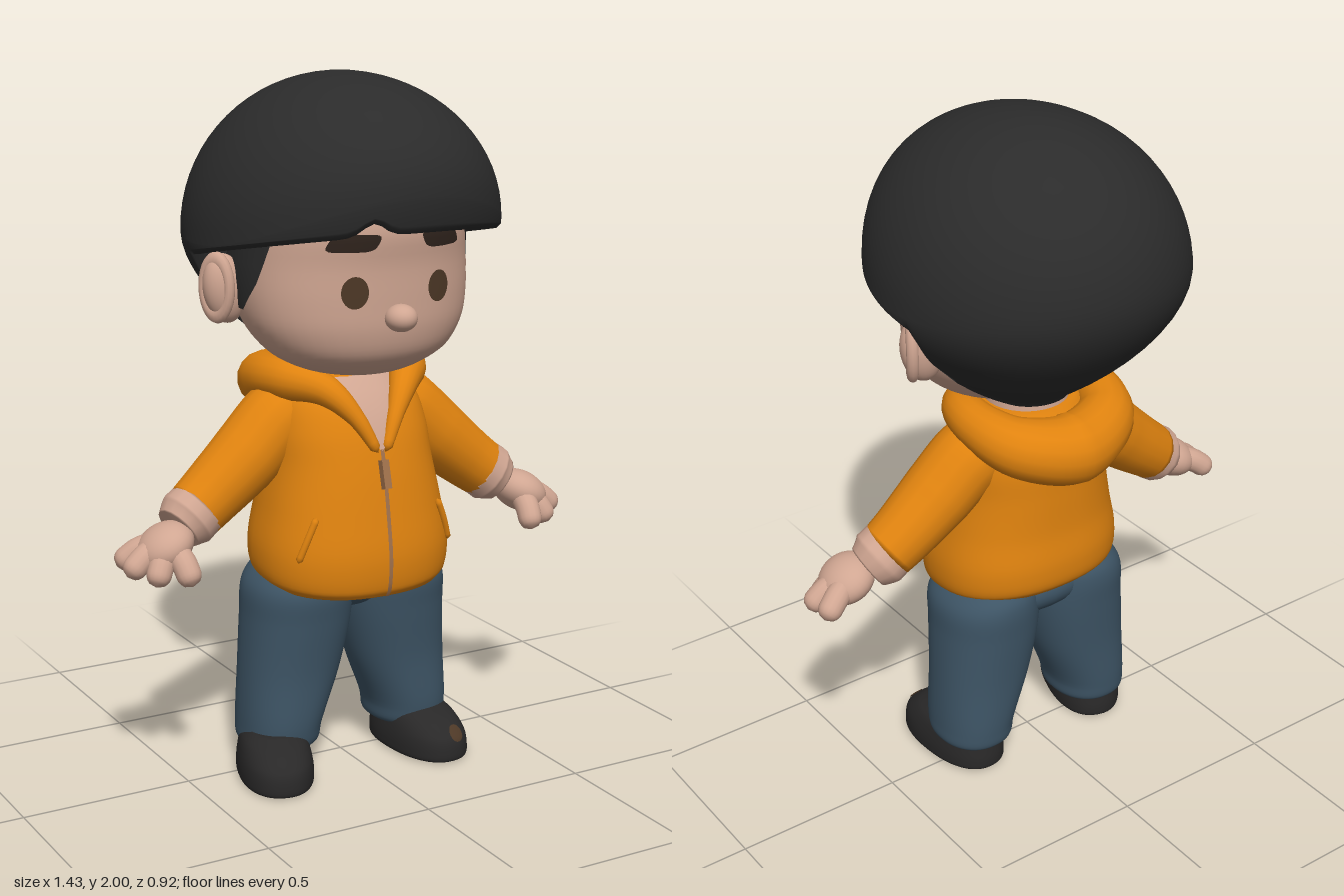
import * as THREE from 'three';
import { mergeVertices } from 'three/addons/utils/BufferGeometryUtils.js';

const V = (x, y, z) => new THREE.Vector3(x, y, z);
const lerp = THREE.MathUtils.lerp;
const mat = (name, color, side = THREE.FrontSide) => {
  const m = new THREE.MeshStandardMaterial({ color, side });
  m.name = name;
  return m;
};

// Surface through rows of points, bottom row first, each row running from +z towards +x
function skinRows(rows, closed = true) {
  const n = rows[0].length, index = [];
  for (let i = 0; i < rows.length - 1; i++) {
    for (let j = 0; j < (closed ? n : n - 1); j++) {
      const k = (j + 1) % n, a = i * n + j, b = i * n + k;
      index.push(a, b, b + n, a, b + n, a + n);
    }
  }
  const g = new THREE.BufferGeometry().setFromPoints(rows.flat());
  g.setIndex(index);
  const m = mergeVertices(g);
  m.computeVertexNormals();
  return m;
}

// Rings are [y, half width, front z, back z, centre x]; resample them smoothly
function smoothRings(rings, steps = 40) {
  const at = (c) => new THREE.CatmullRomCurve3(rings.map((r) => V(...c(r))), false, 'centripetal');
  const a = at((r) => [r[0], r[1], r[4] || 0]), b = at((r) => [r[0], r[2], r[3]]);
  return Array.from({ length: steps + 1 }, (_, i) => {
    const p = a.getPoint(i / steps), q = b.getPoint(i / steps);
    return [p.x, p.y, q.y, q.z, p.z];
  });
}

function loft(rings, power = 2, bend = (p) => p) {
  const rows = rings.map(([y, rx, zf, zb, cx]) => Array.from({ length: 48 }, (_, j) => {
    const a = (j / 48) * Math.PI * 2;
    const f = (t) => Math.sign(t) * Math.abs(t) ** (2 / power);
    return bend(V(cx + rx * f(Math.sin(a)), y, (zf + zb) / 2 + ((zf - zb) / 2) * f(Math.cos(a))));
  }));
  const cap = (row) => {
    const c = row.reduce((s, p) => s.add(p), V(0, 0, 0)).divideScalar(row.length);
    return row.map(() => c.clone());
  };
  return skinRows([cap(rows[0]), ...rows, cap(rows[rows.length - 1])]);
}

// Ring size at a height, then the front z or side x of the lofted surface
function ringAt(rings, y) {
  let i = 0;
  while (i < rings.length - 2 && rings[i + 1][0] < y) i++;
  const t = THREE.MathUtils.clamp((y - rings[i][0]) / (rings[i + 1][0] - rings[i][0]), 0, 1);
  return rings[i].map((v, k) => lerp(v, rings[i + 1][k], t));
}
const curveOut = (t, n) => Math.max(0, 1 - Math.min(1, Math.abs(t)) ** n) ** (1 / n);
function frontZ(rings, n, x, y) {
  const [, rx, zf, zb] = ringAt(rings, y);
  return (zf + zb) / 2 + ((zf - zb) / 2) * curveOut(x / rx, n);
}
function sideX(rings, n, z, y) {
  const [, rx, zf, zb] = ringAt(rings, y);
  return rx * curveOut((z - (zf + zb) / 2) / ((zf - zb) / 2), n);
}

// Thin painted patch: rows of [v, from, to] placed on a surface by a rule
const patch = (rows, place) => skinRows(rows.map(([v, lo, hi]) =>
  Array.from({ length: 9 }, (_, j) => place(lerp(lo, hi, j / 8), v))), false);
const oval = (cx, cy, w, h, tilt = 0, e = 2) => Array.from({ length: 13 }, (_, i) => {
  const s = -Math.cos((i / 12) * Math.PI), k = w * curveOut(s, e), c = cx + s * h * tilt;
  return [cy + s * h, c - k, c + k];
});

// Tapered tube: points are [x, y, z, radius], closed at both ends
function taper(pts, seg = 28, round = true) {
  const curve = new THREE.CatmullRomCurve3(pts.map((p) => V(p[0], p[1], p[2])));
  const g = new THREE.TubeGeometry(curve, seg, 1, 16, false), pos = g.attributes.position;
  const len = curve.getLength();
  for (let i = 0; i <= seg; i++) {
    const t = curve.getUtoTmapping(i / seg) * (pts.length - 1), k = Math.min(Math.floor(t), pts.length - 2);
    let r = lerp(pts[k][3], pts[k + 1][3], t - k);
    const d = (Math.min(i, seg - i) / seg) * len;
    if (round && d < r) r = Math.sqrt(Math.max(0, r * r - (r - d) ** 2));
    else if (d === 0) r = 0;
    const c = curve.getPointAt(i / seg);
    for (let j = 0; j <= 16; j++) {
      const q = i * 17 + j, p = V().fromBufferAttribute(pos, q).sub(c).multiplyScalar(r).add(c);
      pos.setXYZ(q, p.x, p.y, p.z);
    }
  }
  g.deleteAttribute('uv');
  g.deleteAttribute('normal');
  const m = mergeVertices(g);
  m.computeVertexNormals();
  return m;
}

// Bowl-cut hair: a dome whose rim drops behind the ears to a point at the nape
function hairGeometry() {
  const N = 120, cols = [];
  for (let j = 0; j < N; j++) {
    const th = (j / N) * Math.PI * 2, s = Math.sin(th), c = Math.cos(th);
    const a = lerp(0.445, 0.46, c * c), yc = lerp(1.55, c > 0 ? 1.7 : 1.6, c * c);
    const radius = (y) => a * (1 - 0.72 * Math.max(0, (yc - y) / (yc - 1.2)) ** 1.8);
    let rim = 1.535 + 0.08 * c;
    if (c > 0) rim += 0.035 * Math.exp(-(((a * s + 0.14) / 0.04) ** 2));
    if (c < -0.18) {
      const u = Math.min(1, (Math.max(0, 1 + 0.08 / (a * c)) / 0.72) ** (1 / 1.8));
      rim = Math.min(rim, yc - u * (yc - 1.2));
    }
    const col = [];
    for (let i = 0; i <= 18; i++) {
      const p = (i / 18) * Math.PI / 2;
      col.push([a * Math.sin(p), yc + (2 - yc) * Math.cos(p)]);
    }
    for (let i = 1; i <= 10; i++) {
      const y = lerp(yc, rim, i / 10);
      col.push([radius(y), y]);
    }
    const r = radius(rim);
    col.push([r * 0.975, rim - 0.012], [r * 0.93, rim - 0.012], [r * 0.87, rim + 0.008], [r * 0.6, rim + 0.05], [0, 1.6]);
    cols.push(col.map(([q, y]) => V(q * s, y, q * c)));
  }
  return skinRows(cols[0].map((_, i) => cols.map((col) => col[i])).reverse());
}

export function createModel() {
  const root = new THREE.Group();
  const skin = mat('skin', 0xd0a692, THREE.DoubleSide), black = mat('hairBlack', 0x2b2b2b, THREE.DoubleSide);
  const orange = mat('hoodieOrange', 0xe0830f), denim = mat('trouserBlue', 0x3e5566);
  const shoeBlack = mat('shoeBlack', 0x292828), eyeBrown = mat('eyeBrown', 0x4d3826, THREE.DoubleSide);
  const browBrown = mat('browBrown', 0x30241d, THREE.DoubleSide), tan = mat('zipTan', 0xa0714c, THREE.DoubleSide);
  const add = (name, geo, m, parent = root) => {
    const mesh = new THREE.Mesh(geo, m);
    mesh.name = name;
    parent.add(mesh);
    return mesh;
  };
  const ball = (name, m, p, s) => {
    const b = add(name, new THREE.SphereGeometry(1, 28, 20), m);
    b.position.set(...p);
    b.scale.set(...s);
    return b;
  };

  // Head, face and hair
  const head = smoothRings([[1.175, 0.05, 0.17, 0.02], [1.186, 0.14, 0.215, -0.04], [1.21, 0.205, 0.255, -0.08],
    [1.25, 0.265, 0.295, -0.12], [1.32, 0.315, 0.317, -0.18], [1.4, 0.335, 0.322, -0.22], [1.5, 0.335, 0.325, -0.25],
    [1.6, 0.32, 0.335, -0.25], [1.7, 0.28, 0.3, -0.2], [1.8, 0.14, 0.15, -0.1]]);
  const hp = 2.2;
  add('head', loft(head, hp), skin);
  add('hair', hairGeometry(), black);
  ball('nose', skin, [0, 1.36, 0.333], [0.045, 0.038, 0.047]);
  const onFace = (x, y) => V(x, y, frontZ(head, hp, x, y) + 0.006);
  for (const s of [1, -1]) {
    add('eye', patch(oval(s * 0.13, 1.435, 0.037, 0.044), onFace), eyeBrown);
    add('eyebrow', patch(oval(s * 0.135, 1.568, 0.066, 0.024, -s * 0.5, 4), onFace), browBrown);
    add('sideburn', patch([[1.37, 0.03, 0.06], [1.4, 0, 0.09], [1.45, -0.04, 0.13], [1.5, -0.07, 0.15], [1.56, -0.09, 0.17]],
      (z, y) => V(s * (sideX(head, hp, z, y) + 0.007), y, z)), black);
    const ear = ball('ear', skin, [s * 0.358, 1.42, -0.012], [0.062, 0.098, 0.05]);
    ear.rotation.z = -s * 0.15;
    const rim = add('earRim', new THREE.TorusGeometry(0.05, 0.017, 12, 28), skin);
    rim.position.set(s * 0.385, 1.425, -0.005);
    rim.rotation.y = s * 1.05;
    rim.scale.set(0.85, 1.5, 1);
  }
  add('neck', new THREE.CylinderGeometry(0.115, 0.14, 0.24, 32), skin).position.set(0, 1.12, 0.005);

  // Hoodie body, its hem lower at the front
  const torso = smoothRings([[0.58, 0.262, 0.262, -0.165], [0.605, 0.283, 0.277, -0.19], [0.68, 0.29, 0.285, -0.2],
    [0.8, 0.268, 0.267, -0.19], [0.92, 0.245, 0.245, -0.188], [1.02, 0.235, 0.218, -0.185],
    [1.1, 0.21, 0.18, -0.165], [1.17, 0.14, 0.12, -0.12]]);
  const tp = 2.3;
  const hem = (p) => { p.y -= 0.1 * p.z * THREE.MathUtils.clamp((0.8 - p.y) / 0.2, 0, 1); return p; };
  const onTorso = (x, y) => hem(V(x, y, frontZ(torso, tp, x, y) + 0.006));
  add('hoodieBody', loft(torso, tp, hem), orange);
  add('chest', patch([[0.97, -0.004, 0.004], [1.02, -0.035, 0.035], [1.08, -0.07, 0.07], [1.13, -0.1, 0.1], [1.165, -0.11, 0.11]], onTorso), skin);
  add('zip', patch(Array.from({ length: 20 }, (_, i) => [0.582 + i * 0.0206, -0.006, 0.006]), onTorso), tan);
  const pull = add('zipPull', new THREE.BoxGeometry(0.022, 0.08, 0.022), tan);
  pull.position.set(-0.008, 0.91, 0.268);
  pull.rotation.x = -0.25;

  // Hood draped around the neck, thick at the back and thin along the collar
  const half = [[0.012, 0.965, 0.236, 0.014], [0.065, 1.065, 0.2, 0.026], [0.125, 1.135, 0.14, 0.045],
    [0.19, 1.155, 0.045, 0.06], [0.2, 1.145, -0.06, 0.068], [0.15, 1.115, -0.165, 0.085]];
  const other = half.map(([x, ...r]) => [-x, ...r]).reverse();
  add('hood', taper([...half, [0, 1.085, -0.215, 0.103], ...other], 90), orange);

  // Arms, hands and pocket edges
  for (const s of [1, -1]) {
    const limb = (name, m, pts, seg, round) => add(name, taper(pts.map(([x, ...r]) => [s * x, ...r]), seg, round), m);
    limb('sleeve', orange, [[0.14, 1.07, -0.015, 0.1], [0.21, 1.03, -0.005, 0.108], [0.31, 0.94, 0.005, 0.104],
      [0.42, 0.85, 0.012, 0.092], [0.49, 0.797, 0.02, 0.085]], 30, false);
    limb('cuff', skin, [[0.46, 0.82, 0.018, 0.086], [0.5, 0.79, 0.022, 0.088], [0.535, 0.765, 0.03, 0.066]], 20, false);
    const palm = ball('palm', skin, [s * 0.585, 0.735, 0.06], [0.085, 0.06, 0.085]);
    palm.rotation.z = -s * 0.5;
    const tips = [[0.7, 0.675, -0.008], [0.705, 0.668, 0.075], [0.645, 0.645, 0.13], [0.555, 0.645, 0.175]];
    for (const t of tips) {
      limb('finger', skin, [[0.575, 0.745, 0.05, 0.035], [lerp(0.575, t[0], 0.55), lerp(0.765, t[1], 0.5), lerp(0.055, t[2], 0.65), 0.036], [...t, 0.034]], 20);
    }
    limb('pocketEdge', orange, [[0.195, 0.8], [0.222, 0.74], [0.245, 0.68]].map(([x, y]) => [...onTorso(x, y).toArray(), 0.01]), 14);
  }

  // Trousers
  ball('trouserSeat', denim, [0, 0.56, 0.005], [0.25, 0.1, 0.15]);
  for (const s of [1, -1]) {
    const leg = smoothRings([[0.075, 0.09, 0.11, -0.11], [0.09, 0.112, 0.13, -0.13], [0.14, 0.118, 0.142, -0.137],
      [0.3, 0.145, 0.15, -0.143], [0.46, 0.156, 0.172, -0.156], [0.55, 0.152, 0.183, -0.162], [0.59, 0.135, 0.17, -0.155],
      [0.64, 0.09, 0.12, -0.12]].map((r, i) => [...r, s * [0.215, 0.213, 0.21, 0.177, 0.156, 0.152, 0.145, 0.13][i]]));
    add('trouserLeg', loft(leg, 2.2), denim);
  }

  // Shoes, one turned out further than the other
  const shoe = smoothRings([[0, 0.09, 0.185, -0.165], [0.006, 0.105, 0.198, -0.178], [0.03, 0.108, 0.2, -0.18],
    [0.07, 0.104, 0.19, -0.175], [0.11, 0.092, 0.14, -0.165], [0.135, 0.07, 0.07, -0.13]]);
  for (const [x, turn] of [[0.225, 0.06], [-0.255, -0.32]]) {
    const foot = add('shoe', loft(shoe, 2.3), shoeBlack);
    foot.position.set(x, 0, 0.062);
    foot.rotation.y = turn;
  }
  add('shoeSpot', patch(oval(0.255, 0.08, 0.022, 0.02), (x, y) => V(x, y, 0.064 + frontZ(shoe, 2.3, x - 0.235, y))), eyeBrown);
  return root;
}
